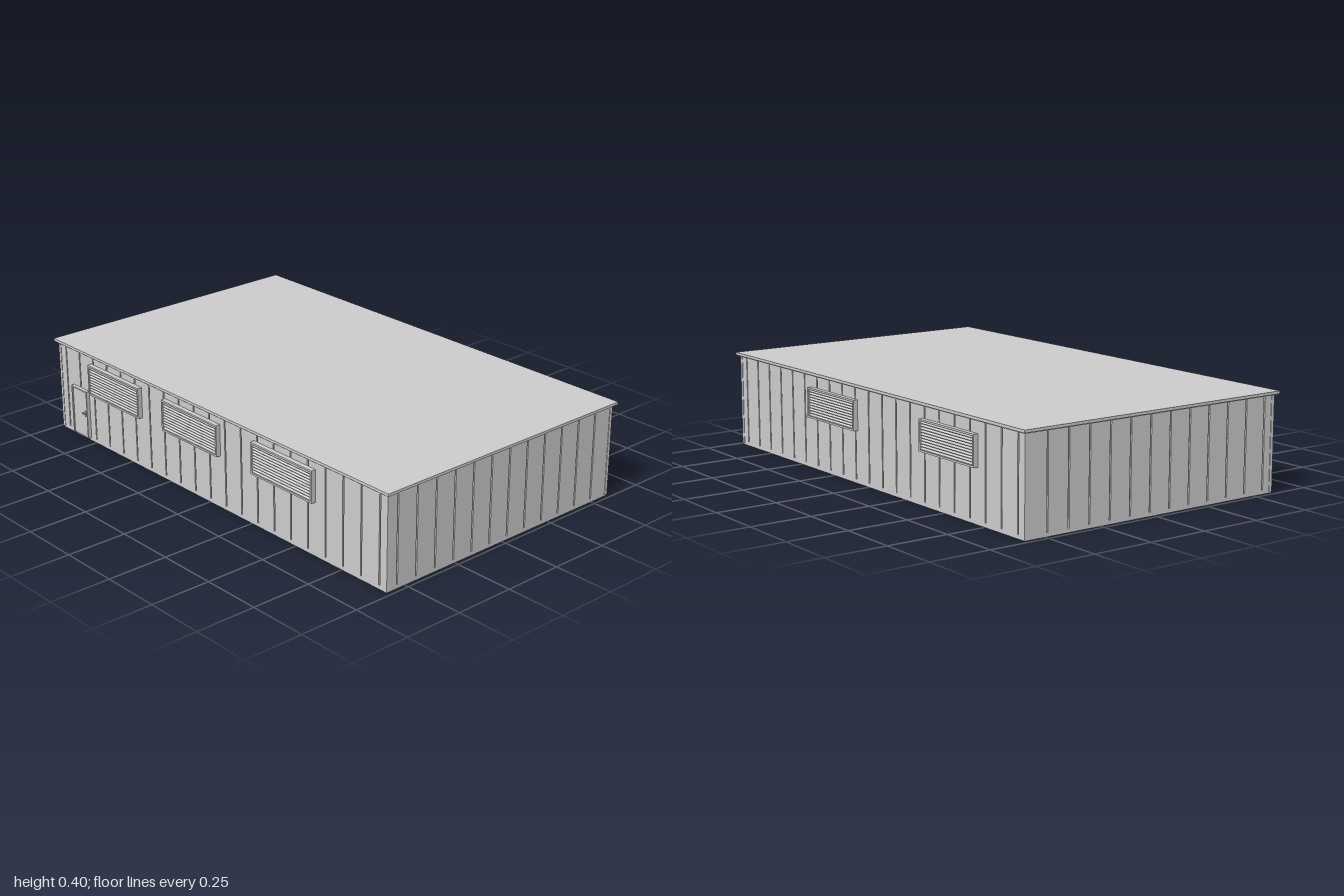
import * as THREE from 'three';

const mat = new THREE.MeshStandardMaterial({ color: 0xcccccc, flatShading: true });

// Box given by its min and max corners
function box(parent, name, [x0, y0, z0], [x1, y1, z1]) {
  const mesh = new THREE.Mesh(new THREE.BoxGeometry(x1 - x0, y1 - y0, z1 - z0), mat);
  mesh.position.set((x0 + x1) / 2, (y0 + y1) / 2, (z0 + z1) / 2);
  mesh.name = name;
  parent.add(mesh);
  return mesh;
}

function group(parent, name) {
  const g = new THREE.Group();
  g.name = name;
  parent.add(g);
  return g;
}

const W = 0.985, D = 0.592; // half width and half depth of the walls
const PITCH = 0.094, GAP = 0.006;

// Wall of upright cladding sheets facing +z, with narrow joints between them
function cladding(parent, name, half, depth, start) {
  const wall = group(parent, name);
  let x = -half;
  for (let next = start; x < half - 0.001; next += PITCH) {
    const end = next > half - 0.01 ? half : next;
    box(wall, 'claddingSheet', [x + GAP / 2, 0.016, depth - 0.012], [end - GAP / 2, 0.378, depth - 0.002]);
    x = end;
  }
  return wall;
}

// Louvred window facing +z, origin at its lower left corner on the wall
function louvre(parent, name, w, h) {
  const g = group(parent, name);
  const t = 0.007, d = 0.017;
  box(g, 'backPlate', [0, 0, -0.003], [w, h, 0.003]);
  for (const x of [0, w - t]) box(g, 'frameSide', [x, 0, 0], [x + t, h, d]);
  for (const y of [0, h - t]) box(g, 'frameRail', [t, y, 0], [w - t, y + t, d]);
  const slats = 10;
  for (let i = 0; i < slats; i++) {
    const y = t + (i + 0.5) * (h - 2 * t) / slats;
    const slat = box(g, 'slat', [t, y - 0.0015, 0.002], [w - t, y + 0.0015, 0.015]);
    slat.rotation.x = 0.6;
  }
  return g;
}

export function createModel() {
  const model = new THREE.Group();
  model.name = 'shed';

  // Inner body behind the sheets
  box(model, 'body', [-W + 0.008, 0.002, -D + 0.008], [W - 0.008, 0.385, D - 0.008]);

  // Cladding on all four sides
  cladding(model, 'frontWall', W - 0.006, D, -W + 0.05);
  cladding(model, 'backWall', W - 0.006, D, -W + 0.05).rotation.y = Math.PI;
  cladding(model, 'leftWall', D - 0.006, W, -0.54).rotation.y = Math.PI / 2;
  cladding(model, 'rightWall', D - 0.006, W, -0.585 + PITCH).rotation.y = -Math.PI / 2;

  // Base trim and corner trims
  box(model, 'baseTrim', [-W + 0.002, 0, -D + 0.002], [W - 0.002, 0.016, D - 0.002]);
  for (const sx of [-1, 1]) for (const sz of [-1, 1]) {
    const c = group(model, 'cornerTrim');
    c.position.set(sx * (W - 0.007), 0, sz * (D - 0.007));
    box(c, 'cornerPost', [-0.007, 0.006, -0.007], [0.007, 0.38, 0.007]);
  }

  // Flat roof with a stepped edge
  box(model, 'eavesTrim', [-0.994, 0.38, -0.6], [0.994, 0.386, 0.6]);
  box(model, 'roof', [-1, 0.384, -0.605], [1, 0.395, 0.605]);

  // Three louvres at the front, two at the back
  for (const x of [-0.76, -0.27, 0.27])
    louvre(model, 'frontLouvre', 0.34, 0.13).position.set(x, 0.218, D);
  for (const x of [-0.37, 0.415]) {
    const g = louvre(model, 'backLouvre', 0.342, 0.122);
    g.position.set(x, 0.21, -D);
    g.rotation.y = Math.PI;
  }

  // Door with frame and handle
  const door = group(model, 'door');
  door.position.set(-0.89, 0.012, D);
  box(door, 'doorLeaf', [0.006, 0, -0.004], [0.1, 0.202, 0.008]);
  for (const x of [0, 0.1]) box(door, 'doorJamb', [x, 0, -0.004], [x + 0.006, 0.208, 0.013]);
  box(door, 'doorHead', [0.006, 0.202, -0.004], [0.1, 0.208, 0.013]);
  box(door, 'handlePlate', [0.083, 0.092, 0.008], [0.089, 0.116, 0.011]);
  box(door, 'handle', [0.074, 0.103, 0.011], [0.089, 0.108, 0.018]);

  return model;
}
